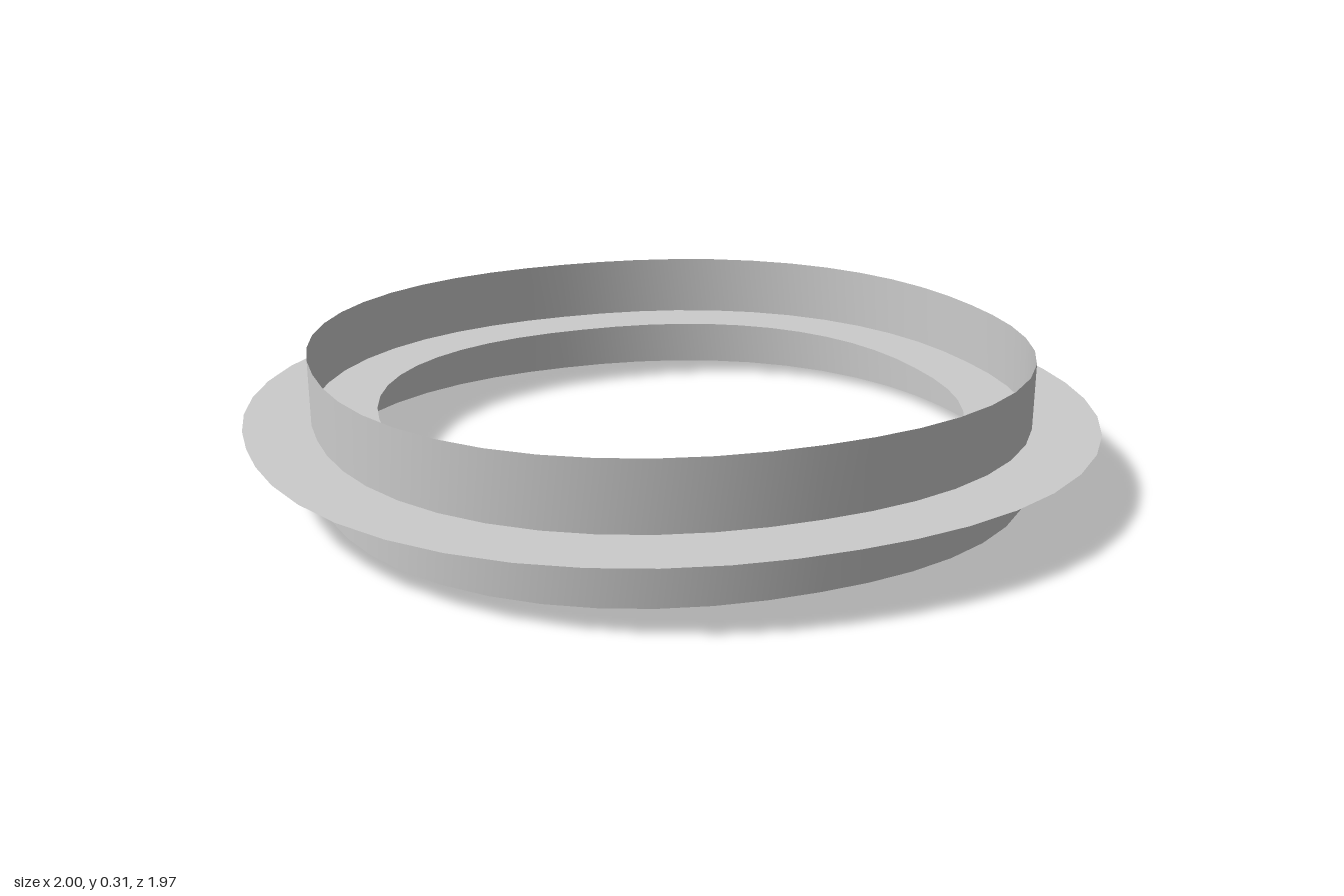
import * as THREE from 'three';

const SEGMENTS = 48;
const HALF = 0.155; // half width of both strips

// Slightly squared oval centre line, with its outward normal
function pathPoint(i) {
  const a = 0.845, b = 0.828, n = 2.21;
  const t = (i / SEGMENTS) * Math.PI * 2;
  const c = Math.cos(t), s = Math.sin(t);
  const r = Math.pow(Math.abs(c) ** n + Math.abs(s) ** n, -1 / n);
  const u = c * r, v = s * r;
  const normal = new THREE.Vector2(
    Math.sign(u) * Math.abs(u) ** (n - 1) / a,
    Math.sign(v) * Math.abs(v) ** (n - 1) / b
  ).normalize();
  return { x: a * u, z: b * v, normal };
}

// Closed thin strip: each side edge is { out, y } relative to the centre line
function strip(name, edgeA, edgeB, material) {
  const positions = [], index = [];
  for (let i = 0; i < SEGMENTS; i++) {
    const p = pathPoint(i);
    for (const e of [edgeA, edgeB]) {
      positions.push(p.x + p.normal.x * e.out, e.y, p.z + p.normal.y * e.out);
    }
    const k = i * 2, m = ((i + 1) % SEGMENTS) * 2;
    index.push(k, k + 1, m, m, k + 1, m + 1);
  }
  const geometry = new THREE.BufferGeometry();
  geometry.setAttribute('position', new THREE.Float32BufferAttribute(positions, 3));
  geometry.setIndex(index);
  geometry.computeVertexNormals();
  const mesh = new THREE.Mesh(geometry, material);
  mesh.name = name;
  return mesh;
}

export function createModel() {
  const group = new THREE.Group();
  group.name = 'crossedRing';
  const material = new THREE.MeshStandardMaterial({ color: 0xcccccc, side: THREE.DoubleSide });

  // Upright band, facing outward
  group.add(strip('uprightBand', { out: 0, y: 0 }, { out: 0, y: 2 * HALF }, material));

  // Flat ring crossing the band at mid height, facing up
  group.add(strip('flatRing', { out: HALF, y: HALF }, { out: -HALF, y: HALF }, material));

  return group;
}
